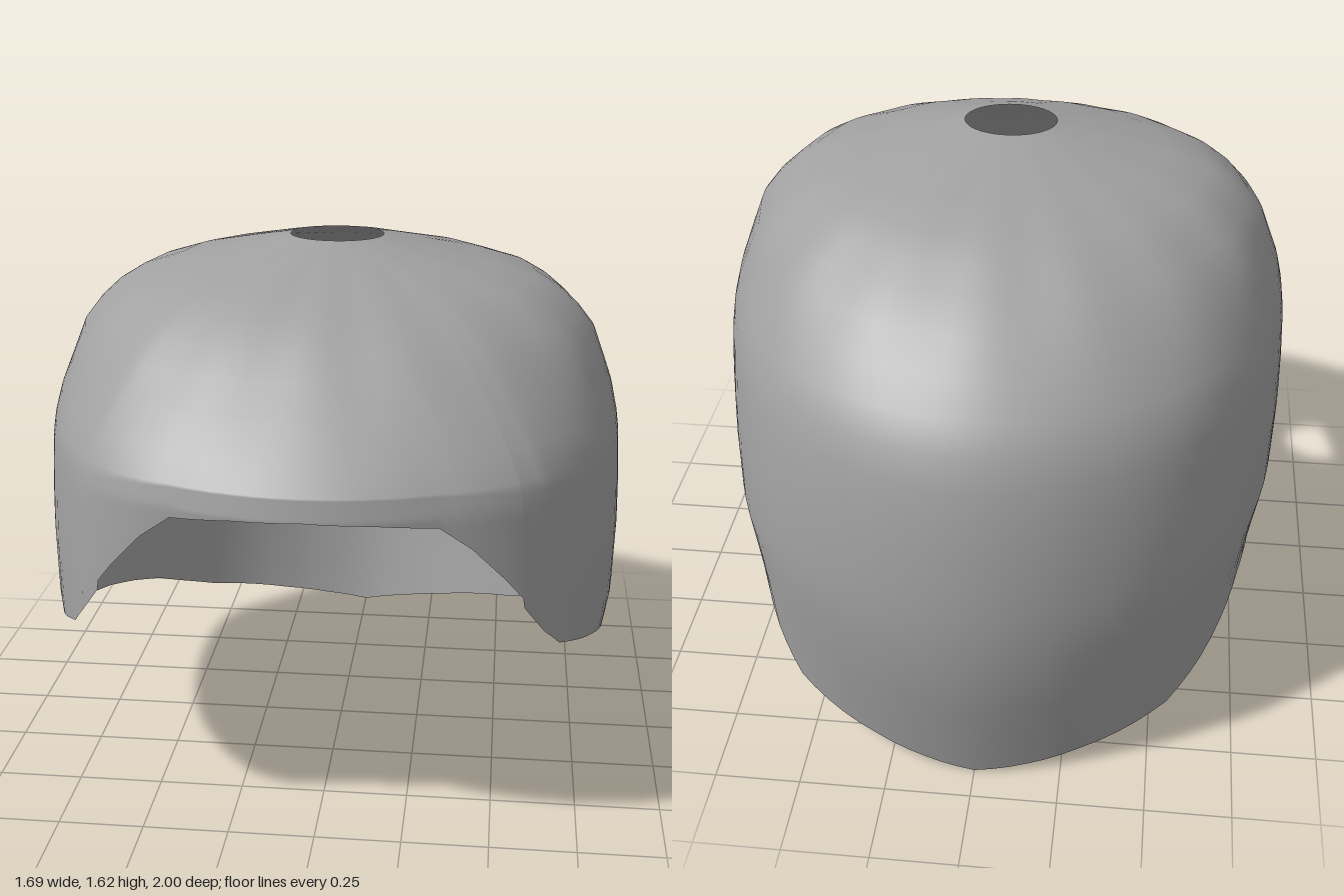
import * as THREE from 'three';

// Level sections from the crown hole down: [y, half width, front z, back z]
const sections = [
  [1.62, 0.135, 0.22, 0.0], [1.6, 0.22, 0.29, -0.1], [1.55, 0.46, 0.43, -0.3],
  [1.51, 0.58, 0.52, -0.425], [1.47, 0.645, 0.595, -0.5], [1.42, 0.7, 0.67, -0.59],
  [1.36, 0.748, 0.745, -0.68], [1.28, 0.78, 0.835, -0.775], [1.2, 0.81, 0.925, -0.85],
  [1.13, 0.827, 0.985, -0.905], [1.07, 0.836, 1.0, -0.93], [0.95, 0.843, 1.0, -0.96],
  [0.8, 0.847, 1.0, -0.985], [0.6, 0.842, 1.0, -1.0], [0.4, 0.806, 1.0, -0.985],
  [0.2, 0.79, 1.0, -0.945], [0.0, 0.78, 1.0, -0.9],
];

// Lower edge of one half, from the brow round to the nape: [x, y, z]
const rim = [
  [0, 1.07, 1], [0.18, 1.062, 0.98], [0.345, 1.045, 0.93], [0.43, 0.98, 0.905],
  [0.52, 0.88, 0.865], [0.565, 0.82, 0.84], [0.57, 0.79, 0.835], [0.625, 0.71, 0.8],
  [0.67, 0.64, 0.72], [0.77, 0.56, 0.49], [0.81, 0.5, 0.3], [0.807, 0.43, 0.1],
  [0.788, 0.37, -0.11], [0.75, 0.31, -0.29], [0.7, 0.25, -0.45], [0.645, 0.195, -0.56],
  [0.55, 0.13, -0.69], [0.3, 0.06, -0.84], [0.15, 0.027, -0.885], [0, 0, -0.9],
];
const TOP = 1.62;
const CROWN_ROWS = 10;
const LOWER_ROWS = 12;
const lerp = THREE.MathUtils.lerp;

function sectionAt(y) {
  let i = 0;
  while (i < sections.length - 2 && sections[i + 1][0] > y) i++;
  const a = sections[i], b = sections[i + 1];
  const t = (y - a[0]) / (b[0] - a[0]);
  return a.map((v, k) => lerp(v, b[k], t));
}

// The centre line leans forward slightly to meet the crown hole
const centreAt = (y) => 0.1 + 0.01 * THREE.MathUtils.smoothstep(y, 1.5, TOP);

// Distance from the centre line to the shell: half ellipses front and back
function radiusAt(y, angle) {
  const [, width, front, back] = sectionAt(y);
  const s = Math.sin(angle), c = Math.cos(angle);
  const depth = c >= 0 ? front - centreAt(y) : centreAt(y) - back;
  return 1 / Math.hypot(s / width, c / depth);
}

// Columns of one half: angle, rim height and the fit to the rim outline
function halfColumns() {
  const keys = rim.map(([x, y, z]) => {
    const angle = Math.atan2(x, z - centreAt(y));
    return { angle, y, fit: Math.hypot(x, z - centreAt(y)) / radiusAt(y, angle) };
  });
  const columns = [];
  for (let i = 0; i < keys.length - 1; i++) {
    const a = keys[i], b = keys[i + 1];
    const steps = Math.max(1, Math.round((b.angle - a.angle) / 0.06));
    for (let k = 0; k < steps; k++) {
      const t = k / steps;
      columns.push({
        angle: lerp(a.angle, b.angle, t),
        y: lerp(a.y, b.y, t),
        fit: lerp(a.fit, b.fit, t),
      });
    }
  }
  columns.push(keys[keys.length - 1]);
  return columns;
}

function shellGeometry() {
  const half = halfColumns();
  const mirrored = half.slice(1, -1).reverse().map((c) => ({ ...c, angle: -c.angle }));
  const columns = [...half, ...mirrored];
  const rows = CROWN_ROWS + LOWER_ROWS;
  const crownEnd = sections[CROWN_ROWS - 1][0];
  const positions = [], indices = [];

  columns.forEach(({ angle, y: rimY, fit }, i) => {
    const next = (i + 1) % columns.length;
    for (let j = 0; j < rows; j++) {
      const y = j < CROWN_ROWS
        ? sections[j][0]
        : lerp(crownEnd, rimY, (j - CROWN_ROWS + 1) / LOWER_ROWS);
      // Faint pleats fan out from the hole and die away down the sides
      const pleat = 0.008 * Math.cos(16 * angle)
        * Math.min(1, j / 2) * THREE.MathUtils.smoothstep(y, 1.13, 1.5);
      const drop = (TOP - y) / (TOP - rimY);
      const r = radiusAt(y, angle) * (lerp(1, fit, drop) + pleat);
      positions.push(Math.sin(angle) * r, y, centreAt(y) + Math.cos(angle) * r);
      if (j < rows - 1) {
        const a = i * rows + j, b = next * rows + j;
        indices.push(a, a + 1, b + 1, a, b + 1, b);
      }
    }
  });

  const geometry = new THREE.BufferGeometry();
  geometry.setAttribute('position', new THREE.Float32BufferAttribute(positions, 3));
  geometry.setIndex(indices);
  geometry.computeVertexNormals();
  return geometry;
}

export function createModel() {
  const group = new THREE.Group();
  group.name = 'headShell';
  // Thin open shell with a hole at the crown
  const shell = new THREE.Mesh(
    shellGeometry(),
    new THREE.MeshStandardMaterial({ color: 0xa0a0a0, side: THREE.DoubleSide })
  );
  shell.name = 'capShell';
  group.add(shell);
  return group;
}
